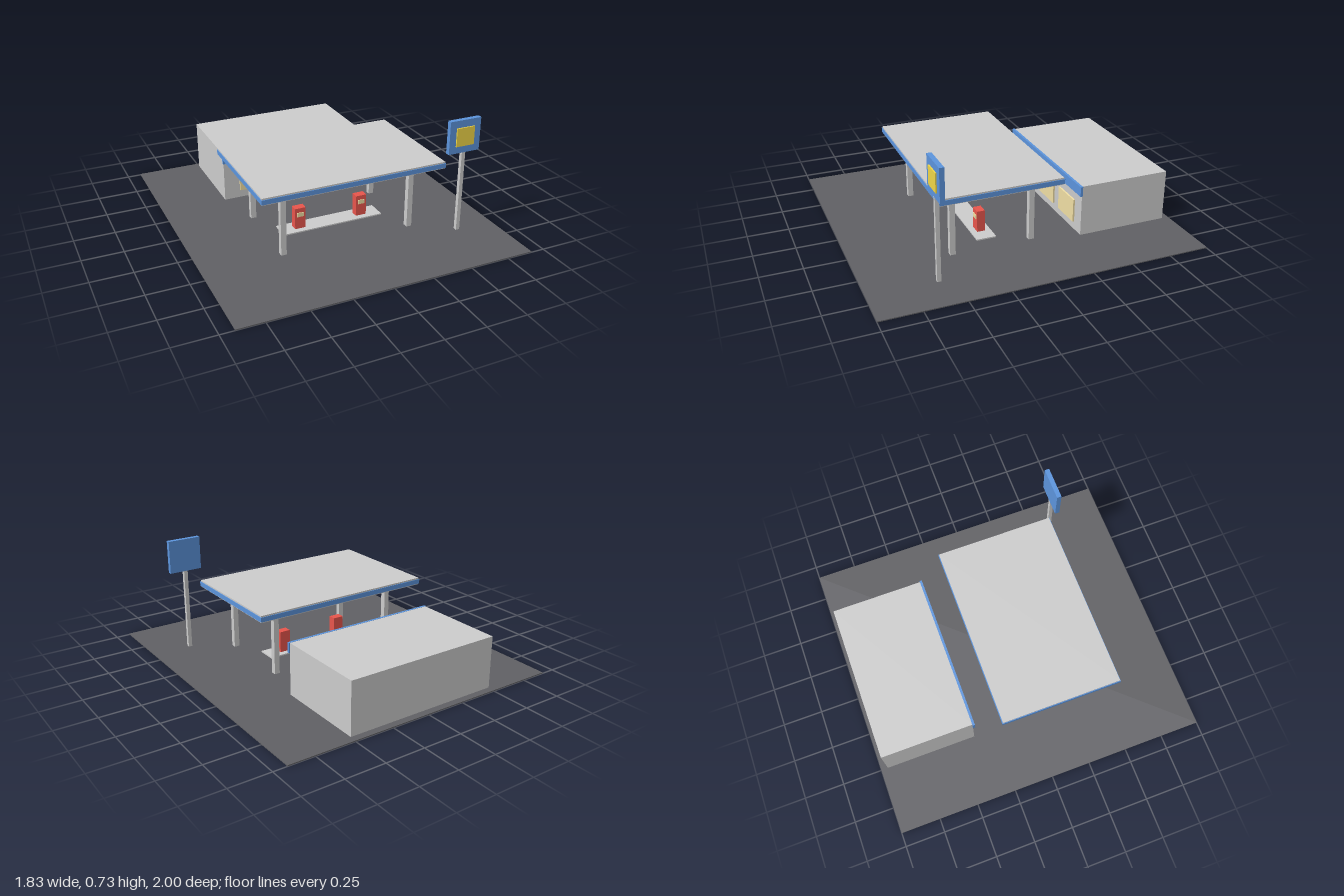
import * as THREE from 'three';

const mat = (color) => new THREE.MeshStandardMaterial({ color });
const GREY = mat(0xcccccc);
const BLUE = mat(0x5c94dc);
const RED = mat(0xe8554c);
const YELLOW = mat(0xf0d648);
const CREAM = mat(0xf0dea4);
const ASPHALT = mat(0x606064);

// Box given by its extents along each axis
function box(parent, name, material, [x0, x1], [y0, y1], [z0, z1]) {
  const mesh = new THREE.Mesh(new THREE.BoxGeometry(x1 - x0, y1 - y0, z1 - z0), material);
  mesh.position.set((x0 + x1) / 2, (y0 + y1) / 2, (z0 + z1) / 2);
  mesh.name = name;
  parent.add(mesh);
  return mesh;
}

function group(parent, name) {
  const g = new THREE.Group();
  g.name = name;
  parent.add(g);
  return g;
}

const around = (c, half) => [c - half, c + half];

export function createModel() {
  const model = new THREE.Group();
  model.name = 'fuelStation';
  const floor = 0.006;

  box(model, 'ground', ASPHALT, [-0.915, 0.915], [0, floor], [-1, 1]);

  // Shop with blue fascia and three windows
  const shop = group(model, 'shop');
  box(shop, 'shopWalls', GREY, [-0.5, 0.5], [floor, 0.33], [-0.957, -0.376]);
  box(shop, 'shopFascia', BLUE, [-0.507, 0.507], [0.268, 0.331], [-0.378, -0.363]);
  for (const x of [-0.296, 0.042, 0.316]) {
    box(shop, 'shopWindow', CREAM, around(x, 0.1), [0.058, 0.206], [-0.377, -0.365]);
  }

  // Canopy: slab with a blue band round its edge, on four columns
  const canopy = group(model, 'canopy');
  box(canopy, 'canopyRoof', GREY, [-0.583, 0.583], [0.412, 0.455], [-0.21, 0.541]);
  for (const z of [-0.21, 0.541]) {
    box(canopy, 'canopyBand', BLUE, [-0.587, 0.587], [0.417, 0.446], around(z, 0.004));
  }
  for (const side of [-1, 1]) {
    box(canopy, 'canopyBand', BLUE, around(side * 0.583, 0.004), [0.417, 0.446], [-0.21, 0.541]);
    for (const z of [-0.08, 0.419]) {
      box(canopy, 'canopyColumn', GREY, around(side * 0.417, 0.017), [floor, 0.413], around(z, 0.017));
    }
  }

  // Pump island with two pumps
  const island = group(model, 'pumpIsland');
  box(island, 'islandKerb', GREY, [-0.334, 0.334], [floor, 0.014], [0.107, 0.231]);
  for (const side of [-1, 1]) {
    const pump = group(island, 'pump');
    box(pump, 'pumpBody', RED, around(side * 0.208, 0.035), [0.014, 0.151], [0.144, 0.194]);
    box(pump, 'pumpDisplay', CREAM, around(side * 0.208, 0.022), [0.095, 0.122], [0.192, 0.199]);
  }

  // Roadside sign
  const sign = group(model, 'roadSign');
  box(sign, 'signPole', GREY, around(0.667, 0.012), [floor, 0.53], around(0.586, 0.012));
  box(sign, 'signBoard', BLUE, around(0.667, 0.104), [0.525, 0.731], [0.571, 0.6]);
  box(sign, 'signPanel', YELLOW, around(0.667, 0.06), [0.57, 0.685], [0.598, 0.608]);

  return model;
}
